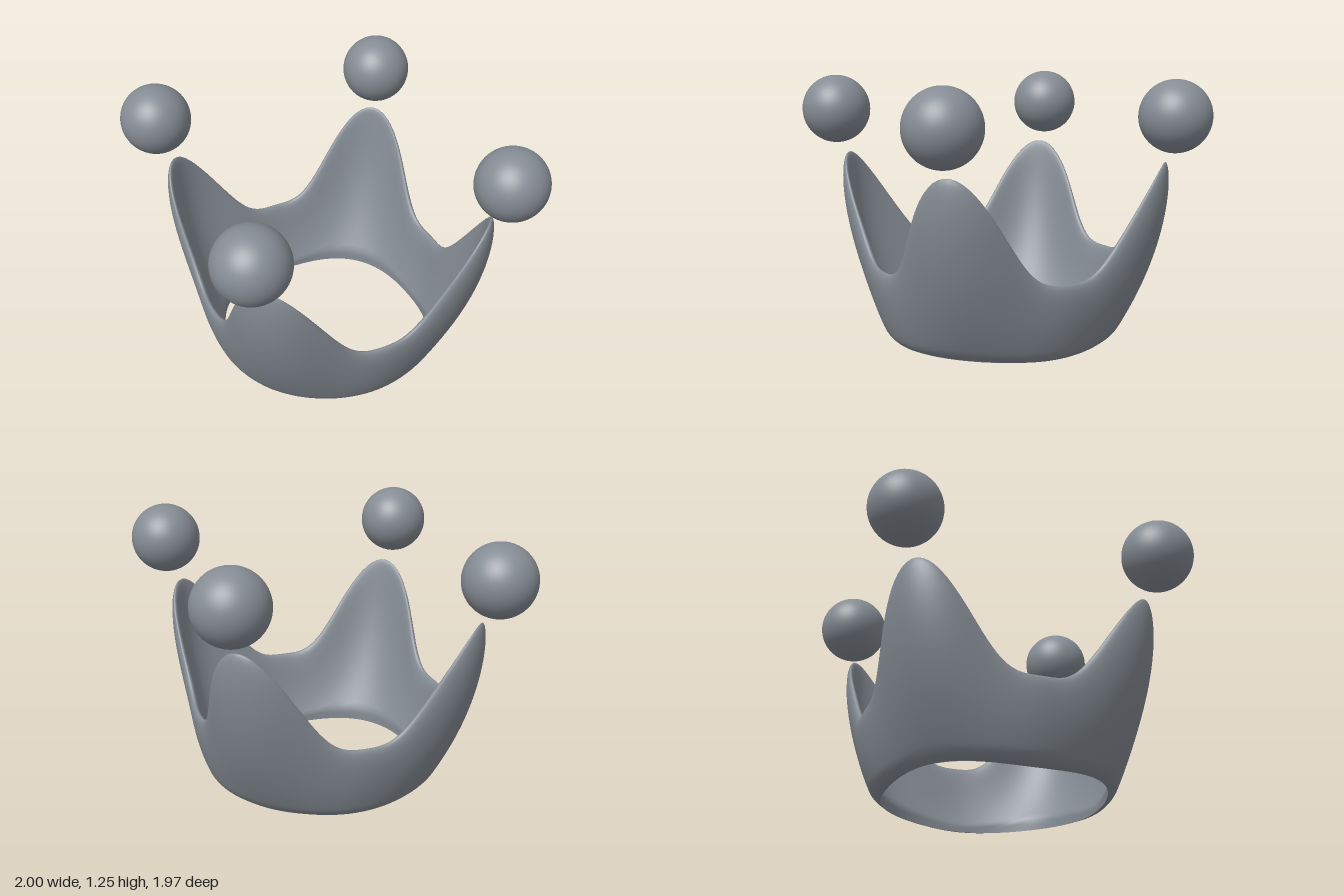
import * as THREE from 'three';

const PEAK_ANGLE = THREE.MathUtils.degToRad(16);
const WALL = 0.055;

// Wall cross-section at one angle: outside bottom -> rim -> inside bottom
function wallSection(theta, steps) {
  const w = (1 + Math.cos(4 * (theta - PEAK_ANGLE))) / 2; // 1 at a peak, 0 at a valley
  const corner = Math.pow(w, 1.6);
  const bottom = 0.003 + 0.015 * w;
  const rim = 0.375 + 0.5 * Math.pow(w, 1.75);
  const hole = 0.508 + 0.028 * w;
  const outside = [], inside = [];
  for (let k = 0; k <= steps; k++) {
    const s = (1 - Math.cos((Math.PI * k) / steps)) / 2;
    const y = bottom + (rim - bottom) * s;
    const q = 1 - y / 0.875;
    const peakR = 0.545 + 0.273 * (1 - q * q);
    const valleyR = 0.545 + 0.11 * (1 - q ** 4);
    const r = valleyR + (peakR - valleyR) * corner;
    // rounded lower edge
    const e = 1 - Math.min(1, (y - bottom) / 0.055);
    const rounding = 0.035 * (1 - Math.sqrt(1 - e * e));
    // wall thins to a rounded rim
    const half = (WALL / 2) * Math.sqrt(Math.max(0, 1 - s ** 8));
    const mid = r - WALL / 2;
    const inner = Math.max(mid - half, k < steps / 2 ? hole : 0);
    outside.push([Math.max(mid + half - rounding, inner), y]);
    if (k < steps) inside.unshift([inner, y]);
  }
  return [[hole, bottom], ...outside, ...inside];
}

function crownBandGeometry(segments = 192, steps = 28) {
  const pos = [], index = [];
  let rows = 0;
  for (let i = 0; i < segments; i++) {
    const theta = (i / segments) * Math.PI * 2;
    const section = wallSection(theta, steps);
    rows = section.length;
    for (const [r, y] of section) pos.push(r * Math.cos(theta), y, r * Math.sin(theta));
  }
  for (let i = 0; i < segments; i++) {
    const n = (i + 1) % segments;
    for (let j = 0; j < rows - 1; j++) {
      const a = i * rows + j, b = a + 1, c = n * rows + j, d = c + 1;
      index.push(a, b, c, b, d, c);
    }
  }
  const g = new THREE.BufferGeometry();
  g.setAttribute('position', new THREE.Float32BufferAttribute(pos, 3));
  g.setIndex(index);
  g.computeVertexNormals();
  return g;
}

export function createModel() {
  const group = new THREE.Group();
  group.name = 'crown';
  const metal = new THREE.MeshStandardMaterial({ color: 0x858c94 });
  metal.name = 'steelGrey';

  // Four-pointed flaring band
  const band = new THREE.Mesh(crownBandGeometry(), metal);
  band.name = 'crownBand';
  band.position.z = -0.015;
  group.add(band);

  // Balls floating above the points
  const ballGeometry = new THREE.SphereGeometry(0.169, 48, 32);
  const spots = [[0.83, 0.213], [-0.257, 0.812], [-0.83, -0.263], [0.228, -0.815]];
  spots.forEach(([x, z], i) => {
    const ball = new THREE.Mesh(ballGeometry, metal);
    ball.name = 'pointBall' + (i + 1);
    ball.position.set(x, 1.087, z);
    group.add(ball);
  });
  return group;
}
